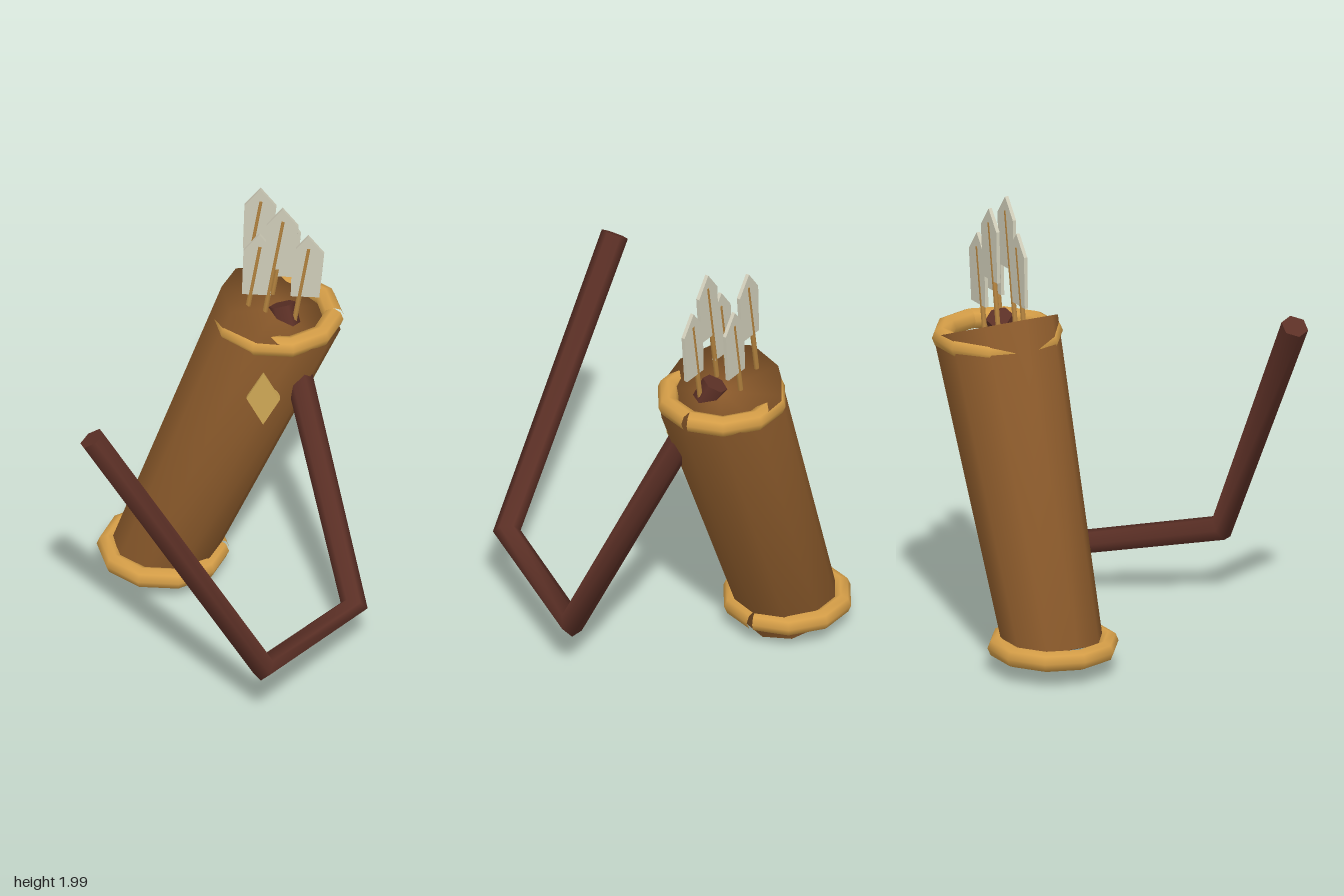
import * as THREE from 'three';
import { mergeVertices } from 'three/addons/utils/BufferGeometryUtils.js';

const mat = (name, color) => {
  const m = new THREE.MeshStandardMaterial({ color });
  m.name = name;
  return m;
};

// Polyline whose cross-sections sit exactly on its corners
class Polyline extends THREE.Curve {
  constructor(points) {
    super();
    this.points = points;
  }
  getPointAt(u, target = new THREE.Vector3()) {
    return target.copy(this.points[Math.round(u * (this.points.length - 1))]);
  }
  getTangentAt(u, target = new THREE.Vector3()) {
    const p = this.points, n = p.length - 1, i = Math.round(u * n);
    target.set(0, 0, 0);
    if (i > 0) target.add(p[i].clone().sub(p[i - 1]).normalize());
    if (i < n) target.add(p[i + 1].clone().sub(p[i]).normalize());
    return target.normalize();
  }
}

const polyTube = (points, radius, sides) =>
  new THREE.TubeGeometry(new Polyline(points), points.length - 1, radius, sides, false);

function plate(points, depth) {
  const shape = new THREE.Shape(points.map(([x, y]) => new THREE.Vector2(x, y)));
  const geo = new THREE.ExtrudeGeometry(shape, { depth, bevelEnabled: false });
  return geo.translate(0, 0, -depth / 2);
}

export function createModel() {
  const model = new THREE.Group();
  model.name = 'quiver';
  const leather = mat('brown leather', 0x8b5a2b);
  const gold = mat('gold trim', 0xd49d47);
  const strapMat = mat('dark red leather', 0x5c3026);
  const wood = mat('arrow wood', 0xb5843f);
  const feather = mat('pale feather', 0xcfccb8);
  const emblem = mat('yellow emblem', 0xcfa855);
  const add = (name, geo, material, parent = model) => {
    const mesh = new THREE.Mesh(geo, material);
    mesh.name = name;
    parent.add(mesh);
    return mesh;
  };
  const V = (x, y, z) => new THREE.Vector3(x, y, z);
  const up = V(0, 1, 0);

  // Tilted tapered body, softly shaded over its caps
  const bottom = V(-0.33, 0.09, -0.45), top = V(0.195, 1.425, -0.45);
  let bodyGeo = new THREE.CylinderGeometry(0.276, 0.217, bottom.distanceTo(top), 10, 1, false, Math.PI / 2);
  bodyGeo.deleteAttribute('uv');
  bodyGeo.deleteAttribute('normal');
  bodyGeo = mergeVertices(bodyGeo);
  bodyGeo.computeVertexNormals();
  const body = add('body', bodyGeo, leather);
  body.position.copy(bottom).lerp(top, 0.5);
  body.quaternion.setFromUnitVectors(up, top.clone().sub(bottom).normalize());

  // Level ten-sided bands
  for (const [name, x, y] of [['topBand', 0.18, 1.39], ['bottomBand', -0.315, 0.125]]) {
    const pts = [];
    for (let i = 0; i <= 10; i++) {
      const a = (i * Math.PI) / 5;
      pts.push(V(x + 0.242 * Math.cos(a), y, -0.45 + 0.242 * Math.sin(a)));
    }
    add(name, polyTube(pts, 0.046, 8), gold);
  }

  // Bent strap with closed ends
  const strap = new THREE.Group();
  strap.name = 'strap';
  model.add(strap);
  const path = [V(0.2, 1.46, -0.43), V(0.55, 0.24, 0.08), V(0.2, 0.32, 0.665), V(-0.545, 1.465, 0.615)];
  add('strapTube', polyTube(path, 0.06, 6), strapMat, strap);
  const curve = new Polyline(path);
  const frames = curve.computeFrenetFrames(3, false);
  for (const i of [0, 3]) {
    const cap = add('strapEnd', new THREE.CircleGeometry(0.06, 6), strapMat, strap);
    const sign = i ? 1 : -1;
    const n = frames.normals[i], b = frames.binormals[i], t = frames.tangents[i];
    const basis = new THREE.Matrix4().makeBasis(n, b.clone().multiplyScalar(sign), t.clone().multiplyScalar(sign));
    cap.quaternion.setFromRotationMatrix(basis);
    cap.position.copy(path[i]);
  }

  // Diamond emblem on the front
  const diamond = add('diamond', plate([[0, -0.135], [0.072, 0], [0, 0.135], [-0.072, 0]], 0.03), emblem);
  diamond.position.set(0.137, 1.13, -0.195);

  // Arrows: tip x, tip y, z
  const vane = plate([[0, 0], [-0.069, -0.09], [-0.076, -0.32], [0.048, -0.32], [0.069, -0.09]], 0.016);
  const shaftGeo = new THREE.CylinderGeometry(0.012, 0.012, 0.6, 6);
  const arrows = [
    [0.106, 1.86, -0.39], [0.206, 2, -0.39], [0.317, 1.86, -0.39],
    [0.1, 2, -0.53], [0.206, 1.86, -0.53],
  ];
  for (const [x, y, z] of arrows) {
    const arrow = new THREE.Group();
    arrow.name = 'arrow';
    arrow.position.set(x, y, z);
    add('fletching', vane, feather, arrow);
    const shaft = add('shaft', shaftGeo, wood, arrow);
    shaft.position.set(-0.045, -0.36, 0);
    shaft.rotation.z = -0.16;
    model.add(arrow);
  }
  return model;
}
